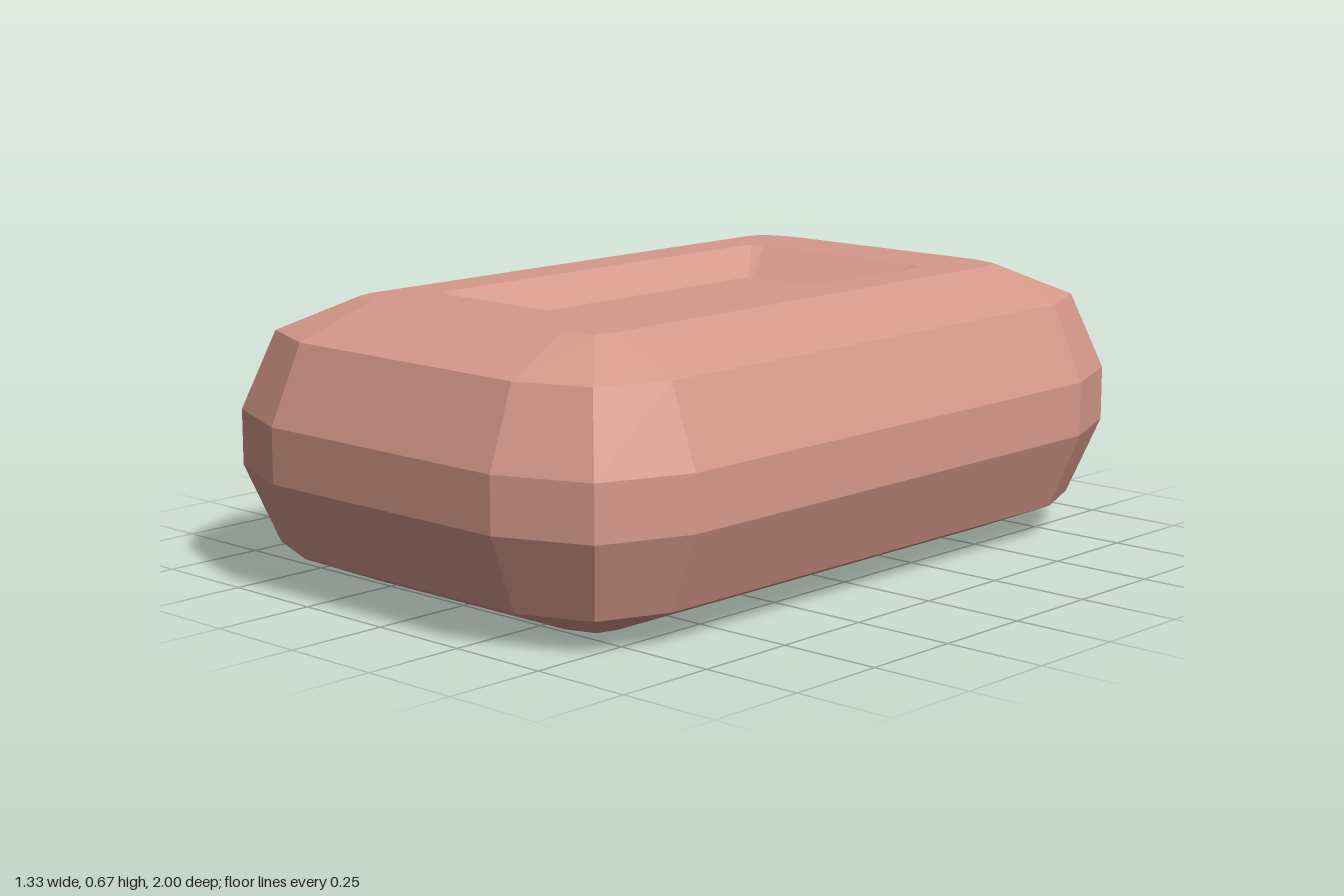
import * as THREE from 'three';

// One level of the body: three points per corner, mirrored into four corners.
// Points run from the +x side round to the +z side.
function ring(y, corner) {
  const back = [...corner].reverse();
  return [
    ...corner.map(([x, z]) => [x, y, z]),
    ...back.map(([x, z]) => [-x, y, z]),
    ...corner.map(([x, z]) => [-x, y, -z]),
    ...back.map(([x, z]) => [x, y, -z]),
  ];
}

// Skin consecutive rings with quads.
function skin(rings) {
  const pos = [];
  for (let r = 0; r < rings.length - 1; r++) {
    const lo = rings[r], hi = rings[r + 1], n = lo.length;
    for (let i = 0; i < n; i++) {
      const j = (i + 1) % n;
      pos.push(...lo[i], ...hi[i], ...lo[j], ...lo[j], ...hi[i], ...hi[j]);
    }
  }
  return toGeometry(pos);
}

// Flat cap fanned from its centre.
function cap(points, up) {
  const pos = [], n = points.length, centre = [0, points[0][1], 0];
  for (let i = 0; i < n; i++) {
    const a = points[i], b = points[(i + 1) % n];
    pos.push(...centre, ...(up ? b : a), ...(up ? a : b));
  }
  return toGeometry(pos);
}

function toGeometry(pos) {
  const geo = new THREE.BufferGeometry();
  geo.setAttribute('position', new THREE.Float32BufferAttribute(pos, 3));
  geo.computeVertexNormals();
  return geo;
}

export function createModel() {
  const group = new THREE.Group();
  group.name = 'beveledBlock';
  const clay = new THREE.MeshStandardMaterial({ color: 0xd6998a, flatShading: true });
  clay.name = 'pinkClay';

  const add = (name, geo) => {
    const mesh = new THREE.Mesh(geo, clay);
    mesh.name = name;
    group.add(mesh);
  };

  // Corner outlines, from the flat faces out to the widest band
  const flat = [[0.4, 0.66], [0.385, 0.71], [0.31, 0.735]];
  const shoulder = [[0.59, 0.685], [0.52, 0.852], [0.347, 0.922]];
  const widest = [[0.667, 0.695], [0.58, 0.91], [0.36, 1]];
  const rim = [[0.288, 0.515], [0.278, 0.542], [0.245, 0.555]];
  const pit = [[0.2, 0.425], [0.197, 0.437], [0.18, 0.442]];

  const bottom = ring(0, flat);
  const top = ring(0.665, flat);
  const recessRim = ring(0.665, rim);
  const recessFloor = ring(0.6, pit);

  // Faceted body
  add('body', skin([
    bottom,
    ring(0.08, shoulder),
    ring(0.267, widest),
    ring(0.4, widest),
    ring(0.587, shoulder),
    top,
  ]));
  add('underside', cap(bottom, false));

  // Top face with its sunken panel
  add('topFace', skin([top, recessRim]));
  add('recessWalls', skin([recessRim, recessFloor]));
  add('recessFloor', cap(recessFloor, true));

  return group;
}
